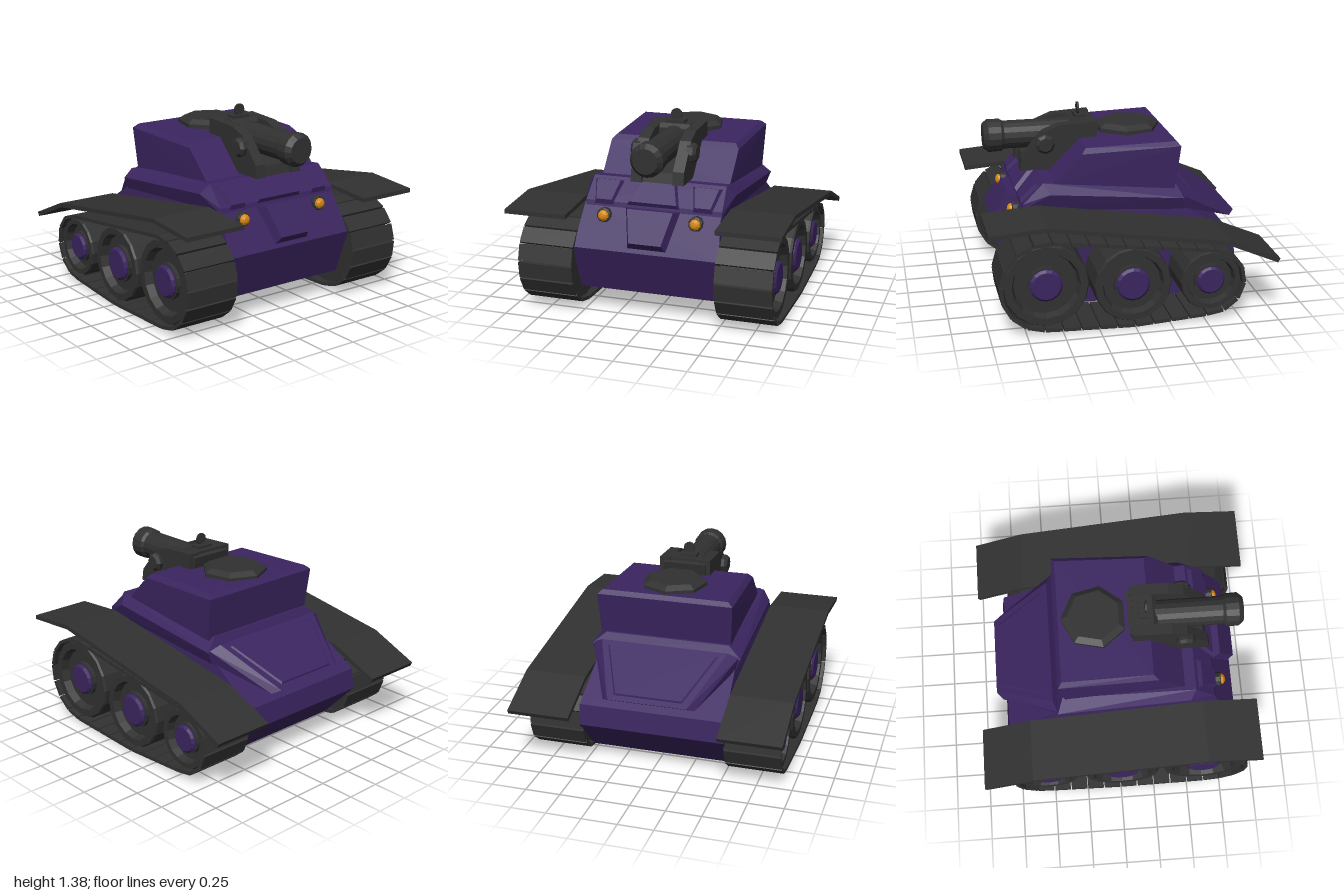
import * as THREE from 'three';
import { ConvexGeometry } from 'three/addons/geometries/ConvexGeometry.js';

const mat = (name, color) => {
  const m = new THREE.MeshStandardMaterial({ color });
  m.name = name;
  return m;
};

export function createModel() {
  const purple = mat('purple armour', 0x3b2560);
  const grey = mat('dark grey metal', 0x313131);
  const amber = mat('amber lamp', 0xd6870f);

  const add = (parent, name, geo, material) => {
    const m = new THREE.Mesh(geo, material);
    m.name = name;
    parent.add(m);
    return m;
  };
  const group = (parent, name, x = 0) => {
    const g = new THREE.Group();
    g.name = name;
    g.position.x = x;
    parent.add(g);
    return g;
  };
  const flat = (geo) => {
    const g = geo.index ? geo.toNonIndexed() : geo;
    g.computeVertexNormals();
    return g;
  };
  // Convex solid from [x, y, z] points mirrored across x
  const solid = (pts) => new ConvexGeometry(pts.flatMap(([x, y, z]) =>
    [new THREE.Vector3(x, y, z), new THREE.Vector3(-x, y, z)]));
  // Side profile of [z, y] points extruded from x0 to x1
  const prism = (pts, x0, x1) => {
    const shape = new THREE.Shape(pts.map(([z, y]) => new THREE.Vector2(z, y)));
    return new THREE.ExtrudeGeometry(shape, { depth: x1 - x0, bevelEnabled: false })
      .rotateY(-Math.PI / 2).translate(x1, 0, 0);
  };
  // Turned part of [radius, height] points
  const turned = (pts, sides) =>
    flat(new THREE.LatheGeometry(pts.map(([r, h]) => new THREE.Vector2(r, h)), sides));
  // Raised plate with sloping borders on a four-cornered area
  const panel = (corners, normal, height, inset) => {
    const base = corners.map((c) => new THREE.Vector3(...c));
    const n = new THREE.Vector3(...normal).normalize();
    const mid = base.reduce((s, p) => s.add(p), new THREE.Vector3()).multiplyScalar(0.25);
    const top = base.map((p) => p.clone().lerp(mid, inset).addScaledVector(n, height));
    return new ConvexGeometry([...base.map((p) => p.clone().addScaledVector(n, -0.02)), ...top]);
  };

  const tank = new THREE.Group();
  tank.name = 'tank';

  // Hull
  const hull = group(tank, 'hull');
  add(hull, 'lowerHull', solid([
    [0.52, 0.04, 0.43], [0.52, 0.17, 0.74], [0.52, 0.5, 0.865], [0.49, 0.78, 0.7],
    [0.52, 0.04, -0.55], [0.52, 0.32, -0.82], [0.52, 0.47, -0.8], [0.5, 0.72, -0.42],
  ]), purple).position.x = -0.008;
  add(hull, 'upperHull', solid([
    [0.49, 0.76, 0.71], [0.49, 0.8, 0.7], [0.48, 0.94, 0.56],
    [0.535, 0.87, 0.52], [0.5, 0.78, 0.56],
    [0.545, 0.78, -0.43], [0.51, 0.69, -0.43], [0.45, 0.86, -0.39],
  ]), purple);
  add(hull, 'rearDeck', solid([
    [0.53, 0.79, -0.43], [0.51, 0.7, -0.43], [0.46, 0.83, -0.46],
    [0.33, 0.545, -0.83], [0.28, 0.57, -0.875],
  ]), purple);
  add(hull, 'rearDeckPanel', panel(
    [[0.43, 0.815, -0.48], [-0.43, 0.815, -0.48], [-0.26, 0.585, -0.85], [0.26, 0.585, -0.85]],
    [0, 0.85, -0.53], 0.012, 0.1), purple);
  add(hull, 'nosePanel', panel(
    [[0.2, 0.78, 0.715], [-0.2, 0.78, 0.715], [-0.14, 0.53, 0.86], [0.14, 0.53, 0.86]],
    [0, 0.5, 0.86], 0.05, 0.18), purple);
  add(hull, 'frontPanel', panel(
    [[0.14, 0.93, 0.575], [-0.14, 0.93, 0.575], [-0.2, 0.79, 0.71], [0.2, 0.79, 0.71]],
    [0, 0.7, 0.7], 0.025, 0.15), purple);

  for (const s of [1, -1]) {
    add(hull, 'sideFrontPanel', panel(
      [[s * 0.24, 0.93, 0.575], [s * 0.47, 0.93, 0.575], [s * 0.43, 0.78, 0.715], [s * 0.28, 0.78, 0.715]],
      [0, 0.7, 0.7], 0.025, 0.25), purple);

    // Headlamps
    const lamp = group(hull, 'headlamp', s * 0.33 - 0.01);
    lamp.position.set(s * 0.33 - 0.01, 0.71, 0.71);
    lamp.rotation.x = Math.PI / 2 - 0.1;
    add(lamp, 'lampHousing', turned([[0, -0.06], [0.04, -0.06], [0.052, 0], [0.052, 0.05], [0.042, 0.055], [0, 0.055]], 10), grey);
    add(lamp, 'lampLens', turned([[0.04, 0.05], [0.036, 0.07], [0.02, 0.082], [0, 0.085]], 10), amber);
  }

  // Fenders
  for (const x0 of [-0.972, 0.525]) {
    add(tank, 'fender', prism([
      [1, 0.74], [1, 0.77], [0.61, 0.8], [-0.64, 0.605], [-1, 0.45],
      [-0.985, 0.42], [-0.63, 0.575], [0.61, 0.77],
    ], x0, x0 + 0.447), grey);
  }

  // Running gear: [z, y, radius, hub radius]
  const wheels = [[0.61, 0.345, 0.295, 0.115], [0.01, 0.3, 0.27, 0.12], [-0.54, 0.28, 0.215, 0.1]];
  const arc = ([z, y, r], from, to, n) => Array.from({ length: n + 1 }, (_, i) => {
    const a = THREE.MathUtils.degToRad(from + (to - from) * i / n);
    return new THREE.Vector2(z + (r + 0.02) * Math.cos(a), y + (r + 0.02) * Math.sin(a));
  });
  const loop = [...arc(wheels[0], 97, -92, 14), ...arc(wheels[1], -91, -93, 1), ...arc(wheels[2], -95, -262, 12)];
  const path = new THREE.Path([...loop, loop[0]]);
  const links = path.getSpacedPoints(32);

  for (const s of [1, -1]) {
    const gear = group(tank, s > 0 ? 'leftTrack' : 'rightTrack', s * 0.71 - 0.01);
    for (let i = 0; i < links.length - 1; i++) {
      const p = links[i], q = links[i + 1];
      const link = add(gear, 'trackLink', new THREE.BoxGeometry(0.4, 0.025, p.distanceTo(q) * 0.93), grey);
      link.position.set(0, (p.y + q.y) / 2, (p.x + q.x) / 2);
      link.rotation.x = -Math.atan2(q.y - p.y, q.x - p.x);
    }
    for (const [z, y, r, h] of wheels) {
      const wheel = group(gear, 'wheel');
      wheel.position.set(0, y, z);
      wheel.rotation.z = -s * Math.PI / 2;
      add(wheel, 'tyre', turned([
        [0, -0.17], [r, -0.17], [r, 0.16], [r * 0.97, 0.175], [r * 0.8, 0.175], [r * 0.74, 0.12],
        [h + 0.012, 0.12], [h + 0.012, 0.15], [0, 0.15],
      ], 16), grey);
      add(wheel, 'hub', turned([[h, 0.12], [h, 0.16], [h * 0.85, 0.175], [0, 0.175]], 16), purple);
    }
  }

  // Turret
  const turret = group(tank, 'turret', 0.016);
  add(turret, 'turretBody', solid([
    [0.465, 0.93, 0.485], [0.47, 1.13, 0.29], [0.44, 1.165, 0.255],
    [0.475, 0.84, -0.37], [0.49, 1.15, -0.41], [0.455, 1.18, -0.385],
  ]), purple);
  const hatch = add(turret, 'hatch', turned([[0.235, -0.03], [0.235, 0.02], [0.19, 0.05], [0, 0.05]], 7), grey);
  hatch.position.set(0.004, 1.18, -0.13);
  hatch.rotation.y = Math.PI;

  // Gun mount
  const gun = group(tank, 'gun', 0.02);
  const cheek = [[0.68, 0.95], [0.665, 1.04], [0.51, 1.22], [0.4, 1.265], [0.13, 1.28], [0.13, 1.14], [0.3, 1.1], [0.46, 0.95]];
  for (const s of [1, -1]) {
    add(gun, 'mountCheek', prism(cheek, s > 0 ? 0.11 : -0.19, s > 0 ? 0.19 : -0.11), grey);
    const boss = add(gun, 'pivotBoss', turned([[0.07, -0.02], [0.07, 0.025], [0.05, 0.045], [0, 0.045]], 8), grey);
    boss.position.set(s * 0.19, 1.14, 0.5);
    boss.rotation.z = -s * Math.PI / 2;
  }
  add(gun, 'mountBase', prism([[0.66, 0.95], [0.64, 1.02], [0.4, 1.1], [0.25, 1.1], [0.42, 0.95]], -0.11, 0.11), grey);
  add(gun, 'breech', prism([[0.31, 1.1], [0.31, 1.25], [0.28, 1.278], [0.14, 1.278], [0.14, 1.12]], -0.11, 0.11), grey);
  add(gun, 'breechLip', prism([[0.15, 1.14], [0.15, 1.26], [0.105, 1.25], [0.125, 1.15]], -0.16, 0.16), grey);

  // Barrel with thick muzzle
  add(gun, 'barrel', turned([
    [0, 0.28], [0.1, 0.28], [0.1, 0.77], [0.115, 0.79], [0.118, 0.88], [0.088, 0.915], [0, 0.915],
  ], 16).rotateX(Math.PI / 2).translate(0, 1.167, 0), grey);

  // Sight
  add(gun, 'sightBase', new THREE.BoxGeometry(0.13, 0.025, 0.08).translate(-0.005, 1.285, 0.22), grey);
  add(gun, 'sightPost', new THREE.BoxGeometry(0.025, 0.03, 0.015).translate(-0.005, 1.3, 0.23), grey);
  add(gun, 'sightDisc', flat(new THREE.CylinderGeometry(0.042, 0.042, 0.014, 12))
    .rotateX(Math.PI / 2).translate(-0.005, 1.335, 0.23), grey);

  return tank;
}
